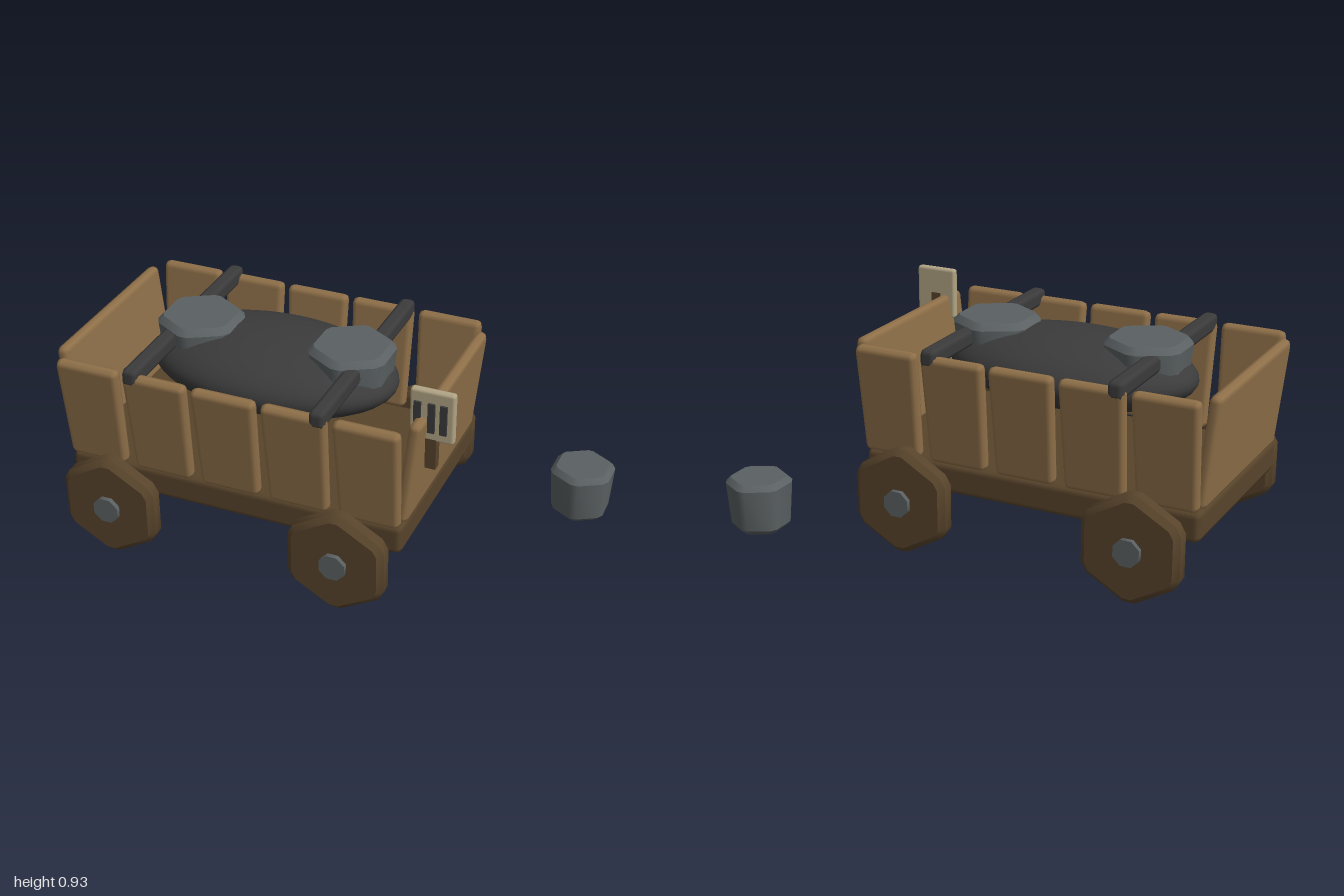
import * as THREE from 'three';
import { toCreasedNormals } from 'three/addons/utils/BufferGeometryUtils.js';
import { RoundedBoxGeometry } from 'three/addons/geometries/RoundedBoxGeometry.js';

const material = (name, color) => {
  const m = new THREE.MeshStandardMaterial({ color });
  m.name = name;
  return m;
};

// Box with a single chamfer, optionally narrower at the bottom
function bevelBox(w, h, d, bevel, taperX = 1) {
  const geo = new RoundedBoxGeometry(w, h, d, 1, bevel);
  const p = geo.attributes.position;
  for (let i = 0; i < p.count; i++) {
    const t = p.getY(i) / h + 0.5;
    p.setX(i, p.getX(i) * (taperX + (1 - taperX) * t));
  }
  return geo;
}

// Bevelled hexagonal prism along z, pointing up in y, with clipped corners;
// the far (-z) end is scaled by taper
function hexPrism(radius, depth, bevel, taper = 1) {
  const r = radius - bevel / Math.cos(Math.PI / 6);
  const corner = i => new THREE.Vector2(Math.sin(i * Math.PI / 3), Math.cos(i * Math.PI / 3)).multiplyScalar(r);
  const points = [];
  for (let i = 0; i < 6; i++) {
    points.push(corner(i).lerp(corner(i - 1), 0.1), corner(i).lerp(corner(i + 1), 0.1));
  }
  const geo = new THREE.ExtrudeGeometry(new THREE.Shape(points), {
    depth: depth - 2 * bevel, bevelEnabled: true, bevelSize: bevel, bevelThickness: bevel, bevelSegments: 1,
  });
  geo.translate(0, 0, bevel - depth / 2);
  const p = geo.attributes.position;
  for (let i = 0; i < p.count; i++) {
    const s = taper + (1 - taper) * (p.getZ(i) / depth + 0.5);
    p.setXY(i, p.getX(i) * s, p.getY(i) * s);
  }
  geo.computeVertexNormals();
  return toCreasedNormals(geo, 0.65);
}

export function createModel() {
  const model = new THREE.Group();
  model.name = 'wagon';
  const wood = material('plank wood', 0x8f7049);
  const darkWood = material('dark wood', 0x58442b);
  const metal = material('grey metal', 0x5b6163);
  const dark = material('dark grey', 0x3b3b3c);
  const pale = material('pale board', 0xb3a686);

  const add = (name, geo, mat, x, y, z, parent = model) => {
    const mesh = new THREE.Mesh(geo, mat);
    mesh.name = name;
    mesh.position.set(x, y, z);
    parent.add(mesh);
    return mesh;
  };

  const cx = -0.258, cz = 0.043;

  // Bed
  add('bed', bevelBox(1.38, 0.122, 0.816, 0.025), darkWood, cx, 0.319, cz);

  // Side planks, leaning outwards
  const plank = bevelBox(0.262, 0.437, 0.054, 0.024, 0.92);
  for (const side of [1, -1]) {
    for (let i = 0; i < 5; i++) {
      const mesh = add('sidePlank', plank, wood, cx + (i - 2) * 0.282, 0.598, cz + side * 0.42);
      mesh.rotation.x = side * 0.11;
    }
  }

  // End boards, leaning outwards
  const board = bevelBox(0.05, 0.437, 0.76, 0.024);
  for (const side of [1, -1]) {
    const mesh = add('endBoard', board, wood, cx + side * 0.695, 0.598, 0.04);
    mesh.rotation.z = -side * 0.11;
  }

  // Six-sided wheels with hubs
  const wheel = hexPrism(0.222, 0.088, 0.022);
  const hub = new THREE.CylinderGeometry(0.055, 0.055, 0.13, 8);
  hub.rotateY(Math.PI / 8).rotateX(Math.PI / 2);
  for (const x of [-0.73, 0.215]) {
    for (const side of [1, -1]) {
      add('wheel', wheel, darkWood, x, 0.242, cz + side * 0.491);
      add('wheelHub', hub, metal, x, 0.242, cz + side * 0.489);
    }
  }

  // Rounded load
  const load = add('load', new THREE.SphereGeometry(1, 40, 24), dark, cx, 0.707, 0.035);
  load.scale.set(0.505, 0.143, 0.303);

  // Cross bars resting on the planks
  const bar = bevelBox(0.062, 0.07, 0.943, 0.02);
  for (const x of [-0.635, 0.12]) add('crossBar', bar, dark, x, 0.808, cz);

  // Buckets: two on the load, one on the ground
  const loadBucket = hexPrism(0.182, 0.17, 0.025, 0.9).rotateX(-Math.PI / 2);
  for (const x of [-0.567, 0.067]) add('loadBucket', loadBucket, metal, x, 0.782, 0.037);
  const bucket = hexPrism(0.141, 0.216, 0.022, 0.87).rotateX(-Math.PI / 2);
  add('groundBucket', bucket, metal, 0.875, 0.108, -0.465);

  // Sign on a short post, with three plain upright slats
  const sign = new THREE.Group();
  sign.name = 'sign';
  model.add(sign);
  add('signPost', new THREE.BoxGeometry(0.042, 0.22, 0.036), darkWood, 0.497, 0.71, 0.325, sign);
  add('signBoard', bevelBox(0.172, 0.208, 0.034, 0.012), pale, 0.498, 0.821, 0.327, sign);
  for (const x of [0.444, 0.498, 0.544]) {
    add('signSlat', new THREE.BoxGeometry(0.027, 0.12, 0.009), dark, x, 0.818, 0.3485, sign);
  }
  return model;
}
